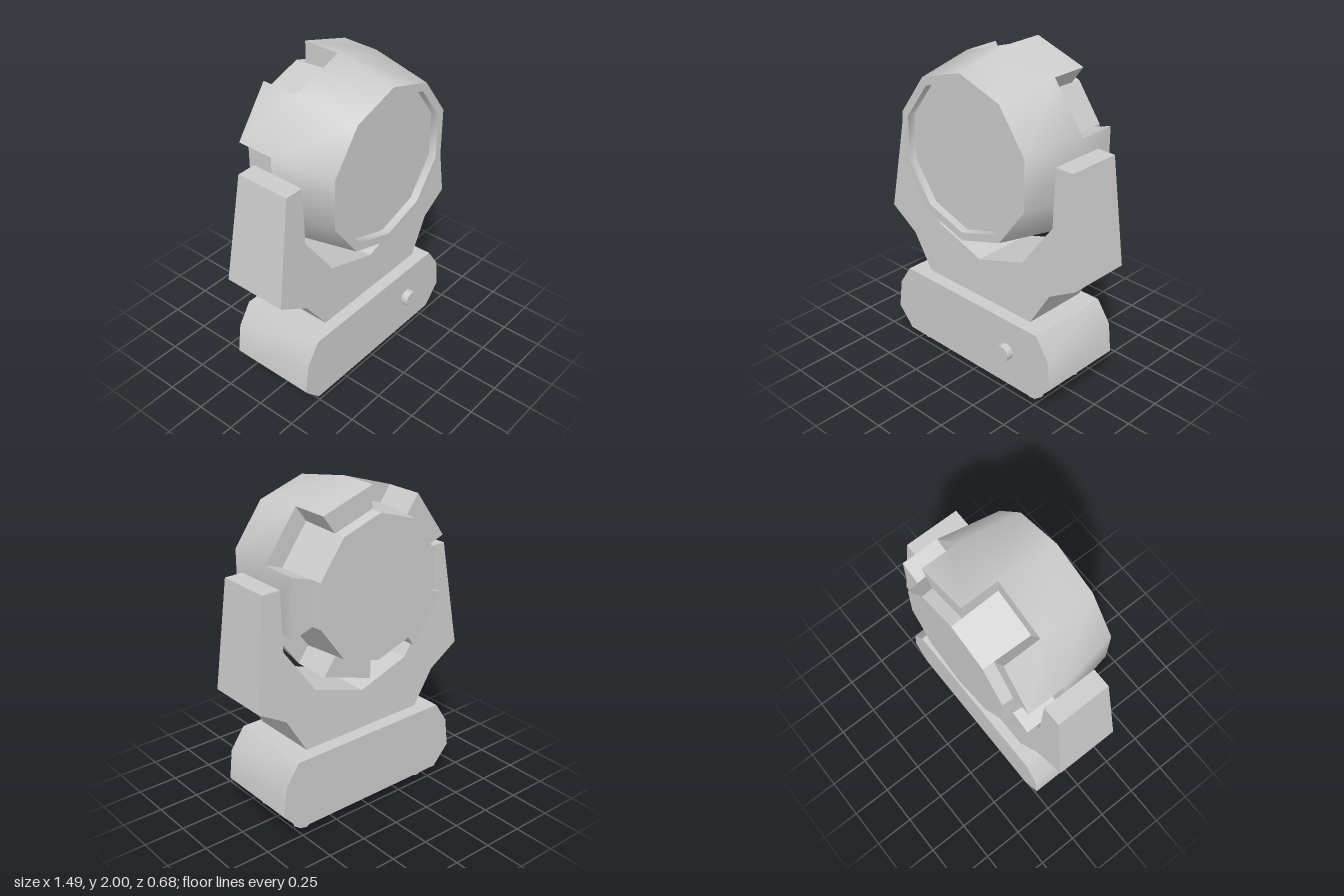
import * as THREE from 'three';
import { mergeGeometries, toCreasedNormals } from 'three/addons/utils/BufferGeometryUtils.js';

const material = new THREE.MeshStandardMaterial({ color: 0xcccccc });
const faceted = new THREE.MeshStandardMaterial({ color: 0xcccccc, flatShading: true });
const rad = THREE.MathUtils.degToRad;

function part(name, geometry, mat = material) {
  const mesh = new THREE.Mesh(geometry, mat);
  mesh.name = name;
  return mesh;
}

// Extrudes an outline along z between two depths
function slab(outline, z0, z1) {
  const shape = new THREE.Shape(outline.map(([x, y]) => new THREE.Vector2(x, y)));
  const g = new THREE.ExtrudeGeometry(shape, { depth: z1 - z0, bevelEnabled: false });
  return g.translate(0, 0, z0);
}

function createBase() {
  const base = new THREE.Group();
  base.name = 'base';

  // Chamfered housing
  const housing = slab([
    [-0.535, 0.07], [0.53, 0.07], [0.64, 0.19], [0.62, 0.375],
    [0.53, 0.505], [-0.535, 0.505], [-0.62, 0.375], [-0.645, 0.19],
  ], -0.267, 0.275);
  base.add(part('baseHousing', toCreasedNormals(housing, rad(33))));

  // Front knob
  const knob = part('knob', new THREE.CylinderGeometry(0.051, 0.051, 0.06, 20).rotateX(Math.PI / 2));
  knob.position.set(0.302, 0.297, 0.29);
  base.add(knob);

  // Four feet
  for (const x of [-0.46, 0.434]) {
    for (const z of [0.162, -0.148]) {
      const foot = part('foot', new THREE.CylinderGeometry(0.052, 0.052, 0.08, 8));
      foot.position.set(x, 0.04, z);
      base.add(foot);
    }
  }
  return base;
}

// Fork that carries the head, thinner towards the top
function createYoke() {
  const g = slab([
    [-0.4, 0.525], [0.43, 0.525], [0.56, 0.745], [0.74, 0.85], [0.67, 1.51],
    [0.555, 1.51], [0.555, 1.16], [0.35, 0.872], [0.015, 0.763], [-0.32, 0.872],
    [-0.523, 1.16], [-0.523, 1.51], [-0.64, 1.51], [-0.745, 0.85], [-0.545, 0.73],
  ], -1, 1);
  const p = g.attributes.position;
  for (let i = 0; i < p.count; i++) {
    const half = THREE.MathUtils.mapLinear(p.getY(i), 0.525, 1.51, 0.212, 0.17);
    p.setZ(i, p.getZ(i) * half + 0.003);
  }
  return part('yoke', toCreasedNormals(g, rad(33)));
}

function createHead() {
  const head = new THREE.Group();
  head.name = 'head';
  head.position.set(0.015, 1.435, 0);

  // Ten-sided shell with a recessed front, as [radius, z]
  const profile = [[0.4, -0.04], [0.565, -0.04], [0.495, 0.338], [0.445, 0.338], [0.445, 0.29], [0, 0.29]];
  const shell = new THREE.LatheGeometry(profile.map(([r, z]) => new THREE.Vector2(r, z)), 10)
    .rotateX(Math.PI / 2).toNonIndexed();

  // Tabs on every second side, reaching back
  const pieces = [shell];
  for (let k = 0; k < 5; k++) {
    const corner = (r, deg) => [r * Math.cos(rad(deg)), r * Math.sin(rad(deg))];
    const a = -90 + 72 * k;
    pieces.push(slab([corner(0.42, a), corner(0.565, a), corner(0.565, a + 36), corner(0.42, a + 36)], -0.27, -0.04));
  }
  head.add(part('headShell', toCreasedNormals(mergeGeometries(pieces), rad(40))));

  // Tapered rear core
  const core = part('rearCore', new THREE.CylinderGeometry(0.45, 0.427, 0.3, 10).rotateX(Math.PI / 2), faceted);
  core.position.z = -0.188;
  head.add(core);
  return head;
}

export function createModel() {
  const model = new THREE.Group();
  model.name = 'movingHeadLamp';
  model.add(createBase(), createYoke(), createHead());
  return model;
}
